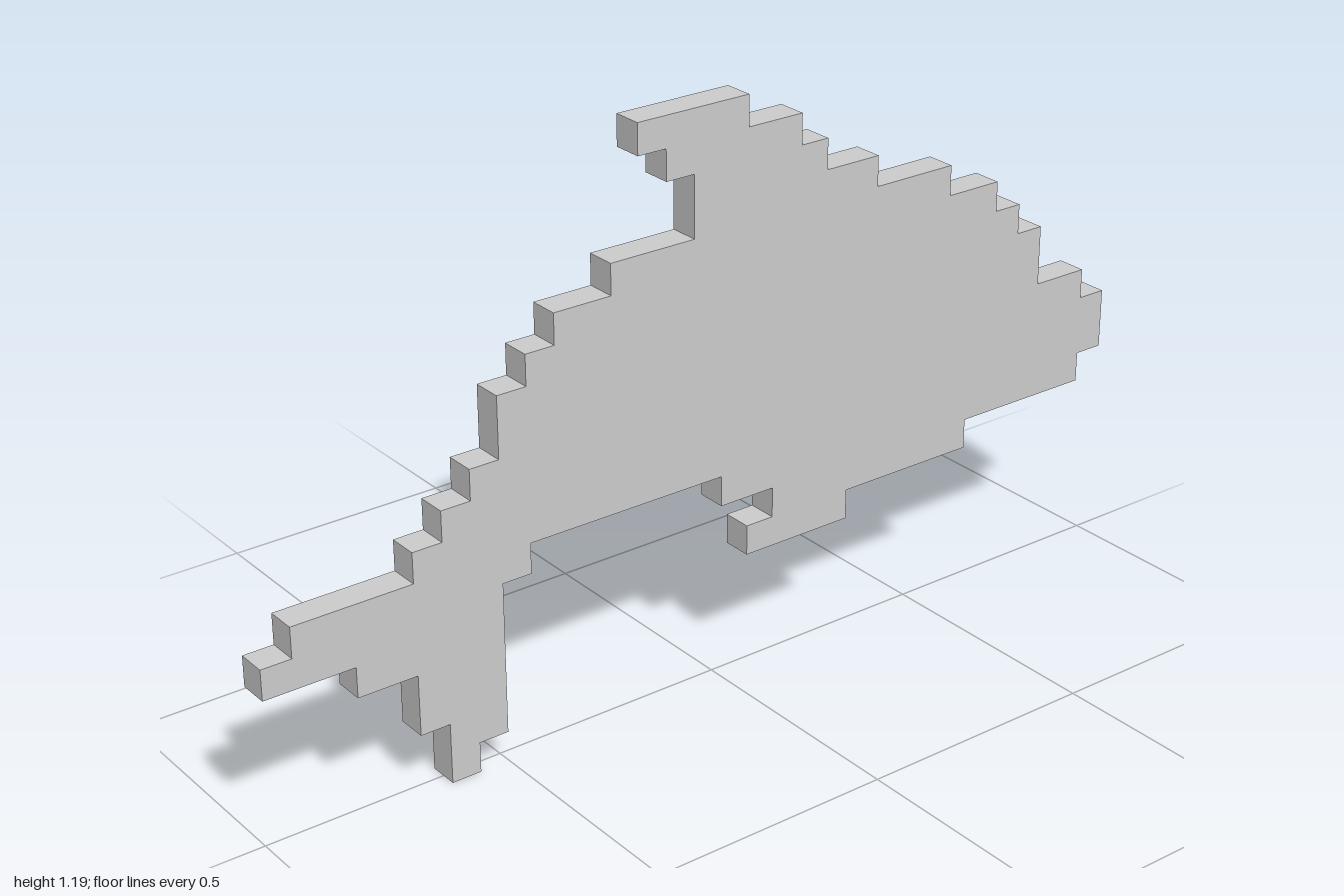
import * as THREE from 'three';

const CELL = 1 / 16; // pixel size, also the plate thickness

// Stepped outline in cells, walked counter-clockwise from START.
// Each pair [x, y] goes across to x, then up or down to y.
const START = [-10, 0];
const OUTLINE = [
  // lower tail fluke and belly
  [-9, 1], [-8, 6], [-7, 7], [0, 6],
  // flipper
  [2, 5], [1, 4], [5, 5],
  // chin and snout
  [10, 6], [15, 7], [16, 9], [15, 10],
  // forehead and back up to the fin
  [13, 12], [12, 13], [11, 14], [9, 15], [6, 16], [4, 17], [3, 18],
  // dorsal fin
  [1, 19], [-3, 18], [-2, 17], [-1, 15],
  // rear back down to the tail
  [-4, 14], [-6, 13], [-7, 12], [-8, 10], [-9, 9], [-10, 8], [-11, 7],
  // upper tail fluke and return to the tip
  [-15, 6], [-16, 5], [-13, 4], [-11, 2], [-10, 0],
];

function steppedShape() {
  const shape = new THREE.Shape();
  let y = START[1];
  shape.moveTo(START[0] * CELL, y * CELL);
  OUTLINE.forEach(([x, nextY], i) => {
    shape.lineTo(x * CELL, y * CELL);
    y = nextY;
    if (i < OUTLINE.length - 1) shape.lineTo(x * CELL, y * CELL);
  });
  shape.closePath();
  return shape;
}

export function createModel() {
  const group = new THREE.Group();
  group.name = 'pixelDolphin';

  // one flat plate, centred on z = 0
  const geometry = new THREE.ExtrudeGeometry(steppedShape(), { depth: CELL, bevelEnabled: false });
  geometry.translate(0, 0, -CELL / 2);
  const material = new THREE.MeshStandardMaterial({ color: 0xcccccc, flatShading: true });
  const body = new THREE.Mesh(geometry, material);
  body.name = 'dolphinBody';
  group.add(body);

  return group;
}
